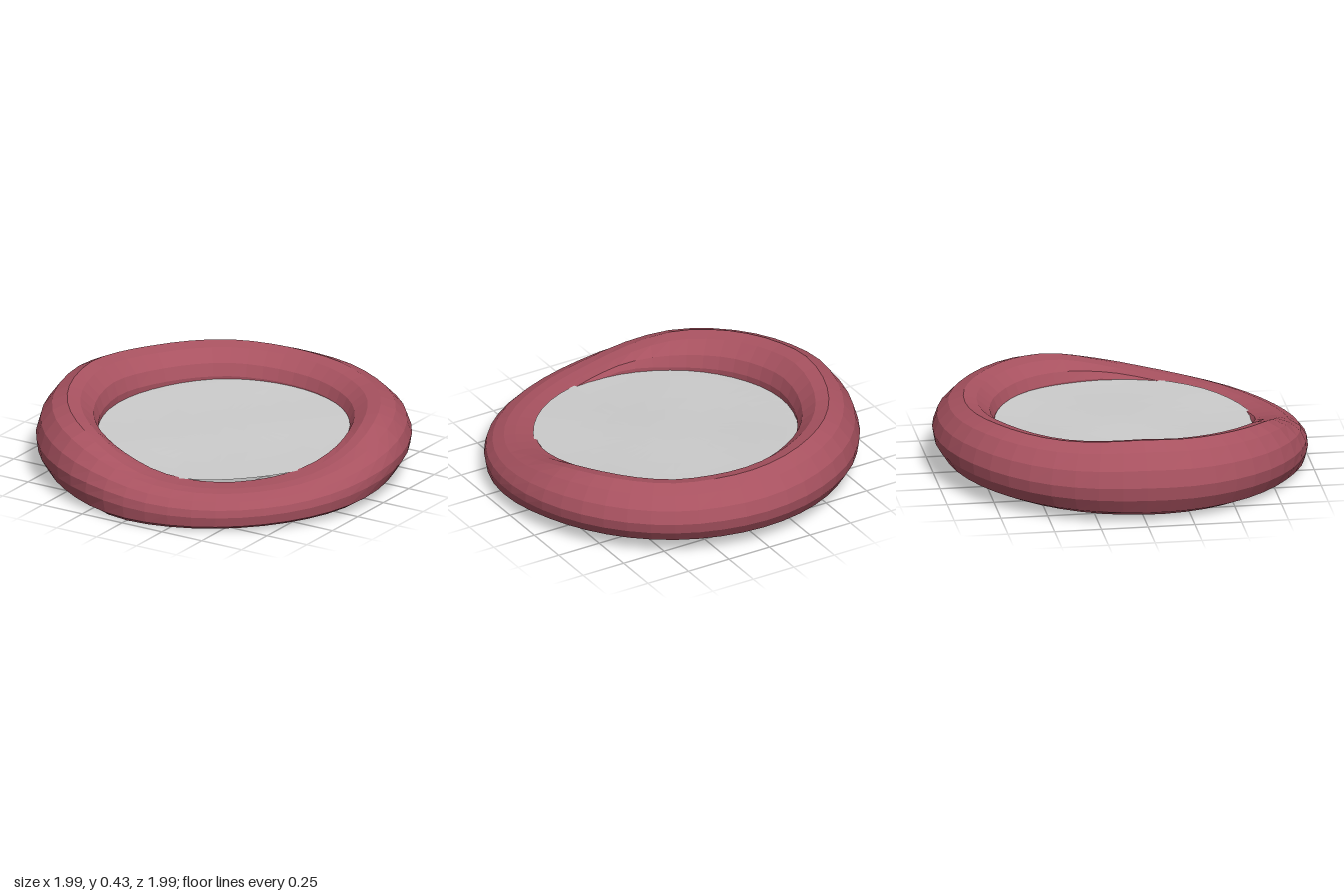
import * as THREE from 'three';

// Rim crest height every 15 degrees, from the left (+x) round through the front (+z)
const CREST = [0.29, 0.24, 0.21, 0.195, 0.19, 0.2, 0.23, 0.29, 0.35, 0.38, 0.4, 0.415,
  0.43, 0.42, 0.41, 0.41, 0.41, 0.4, 0.39, 0.385, 0.375, 0.375, 0.37, 0.345];

// Rim cross-sections as [radius, share of height]: plump, and squashed flat
const PLUMP = [[0.86, 0], [0.94, 0.1], [0.985, 0.3], [0.995, 0.48], [0.97, 0.7], [0.91, 0.9],
  [0.83, 1], [0.76, 0.95], [0.69, 0.78], [0.665, 0.6], [0.67, 0.4], [0.7, 0]];
const FLAT = [[0.96, 0], [0.985, 0.1], [0.995, 0.4], [0.985, 0.62], [0.95, 0.82], [0.89, 0.96],
  [0.83, 1], [0.77, 0.99], [0.72, 0.98], [0.705, 0.88], [0.7, 0.5], [0.7, 0]];

const SEGMENTS = 48;

// Slightly tilted underside
const floorY = (x, z) => Math.max(0, 0.032 + 0.013 * x - 0.03 * z);

function createRim() {
  const crest = new THREE.CatmullRomCurve3(
    CREST.map((y, i) => new THREE.Vector3(i, y, 0)).concat(new THREE.Vector3(CREST.length, CREST[0], 0)));
  const rows = PLUMP.length;
  const positions = [];
  const indices = [];
  for (let i = 0; i < SEGMENTS; i++) {
    const angle = (i / SEGMENTS) * Math.PI * 2;
    const top = crest.getPoint(i / SEGMENTS).y;
    const squash = THREE.MathUtils.smoothstep(0.39 - top, 0, 0.18);
    for (let j = 0; j < rows; j++) {
      const r = THREE.MathUtils.lerp(PLUMP[j][0], FLAT[j][0], squash);
      const t = THREE.MathUtils.lerp(PLUMP[j][1], FLAT[j][1], squash);
      const x = r * Math.cos(angle);
      const z = r * Math.sin(angle);
      positions.push(x, THREE.MathUtils.lerp(floorY(x, z), top, t), z);
      const a = i * rows + j;
      const b = i * rows + (j + 1) % rows;
      const c = ((i + 1) % SEGMENTS) * rows + j;
      const d = ((i + 1) % SEGMENTS) * rows + (j + 1) % rows;
      indices.push(a, b, c, b, d, c);
    }
  }
  const geometry = new THREE.BufferGeometry();
  geometry.setAttribute('position', new THREE.Float32BufferAttribute(positions, 3));
  geometry.setIndex(indices);
  geometry.computeVertexNormals();
  return geometry;
}

// Flat disc in rings, with its height set by a rule
function createDisc(radius, rings, height, facingUp) {
  const geometry = new THREE.RingGeometry(0, radius, SEGMENTS, rings);
  geometry.rotateX(facingUp ? -Math.PI / 2 : Math.PI / 2);
  const p = geometry.attributes.position;
  for (let i = 0; i < p.count; i++) p.setY(i, height(p.getX(i), p.getZ(i)));
  geometry.computeVertexNormals();
  return geometry;
}

export function createModel() {
  const group = new THREE.Group();
  const red = new THREE.MeshStandardMaterial({ color: 0xa85260, flatShading: true });
  const grey = new THREE.MeshStandardMaterial({ color: 0xcccccc, flatShading: true });
  const add = (name, geometry, material) => {
    const mesh = new THREE.Mesh(geometry, material);
    mesh.name = name;
    group.add(mesh);
  };

  // Padded rim with a sagging entrance
  add('paddedRim', createRim(), red);

  // Soft, faintly rumpled cushion
  const cushionY = (x, z) => 0.225 - 0.035 * z + 0.004 * Math.sin(7 * x + 1) * Math.cos(6 * z);
  add('cushion', createDisc(0.735, 6, cushionY, true), grey);

  // Underside
  add('base', createDisc(0.72, 1, (x, z) => floorY(x, z) + 0.001, false), red);
  return group;
}
